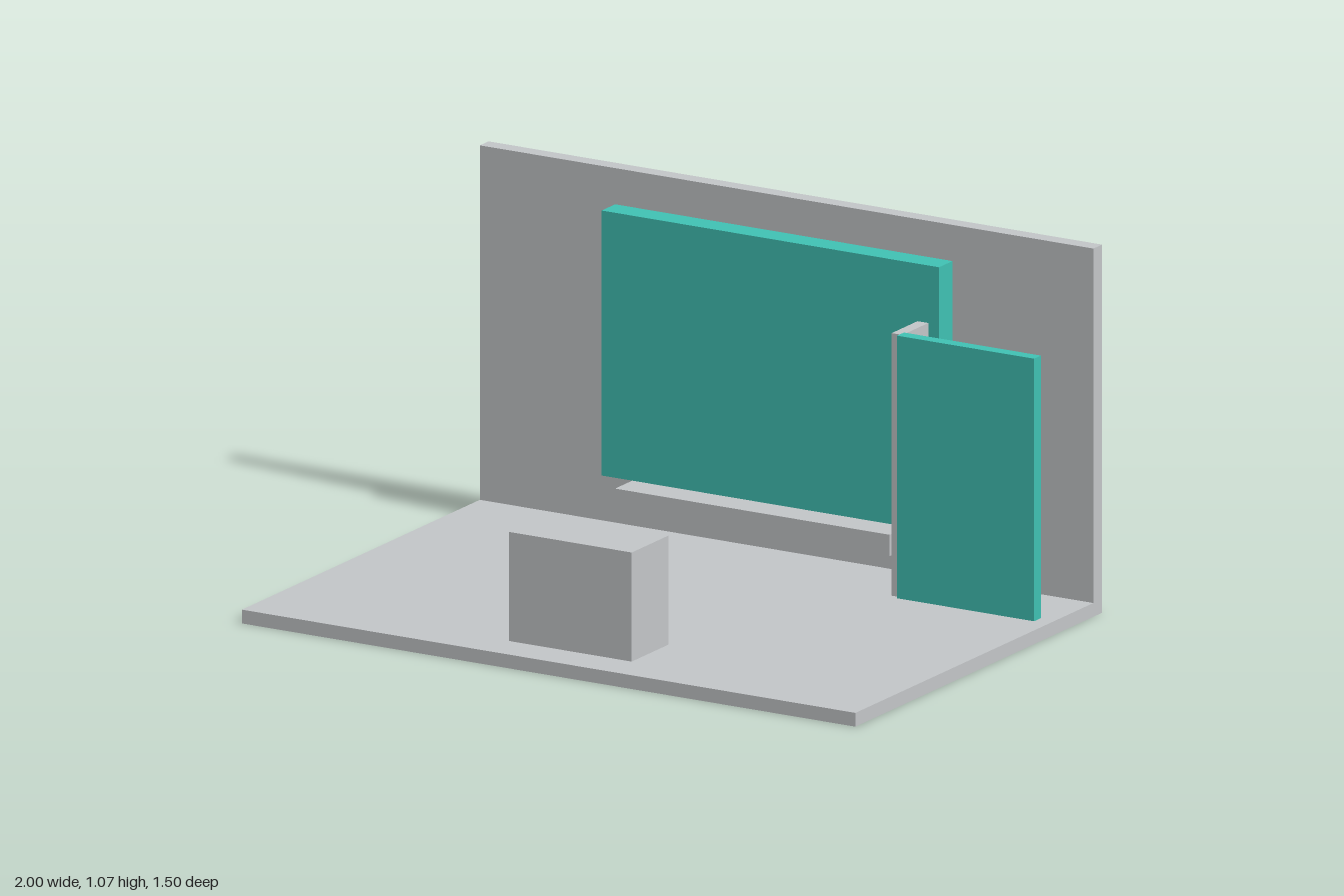
import * as THREE from 'three';

export function createModel() {
  const group = new THREE.Group();
  group.name = 'exhibitionStand';

  const grey = new THREE.MeshStandardMaterial({ color: 0xc3c6c8 });
  grey.name = 'light grey';
  const teal = new THREE.MeshStandardMaterial({ color: 0x40c1b3 });
  teal.name = 'teal';

  // Adds a box given its extent along each axis
  function box(name, material, [x0, x1], [y0, y1], [z0, z1]) {
    const mesh = new THREE.Mesh(new THREE.BoxGeometry(x1 - x0, y1 - y0, z1 - z0), material);
    mesh.position.set((x0 + x1) / 2, (y0 + y1) / 2, (z0 + z1) / 2);
    mesh.name = name;
    group.add(mesh);
  }

  // Platform and back wall
  box('floor', grey, [-1, 1], [0, 0.04], [-0.535, 0.75]);
  box('backWall', grey, [-1, 1], [0, 1.07], [-0.582, -0.535]);

  // Large display panel with the shelf beneath it
  box('displayPanel', teal, [-0.55, 0.55], [0.2, 0.97], [-0.52, -0.447]);
  box('shelf', grey, [-0.45, 0.445], [0.138, 0.2], [-0.535, -0.354]);

  // Side partition running through the wall, and the panel at its front
  box('partition', grey, [0.48, 0.515], [0, 0.803], [-0.752, -0.307]);
  box('frontPanel', teal, [0.506, 0.953], [0.01, 0.803], [-0.33, -0.293]);

  // Counter
  box('counter', grey, [-0.2, 0.2], [0.04, 0.357], [0.435, 0.633]);

  return group;
}
